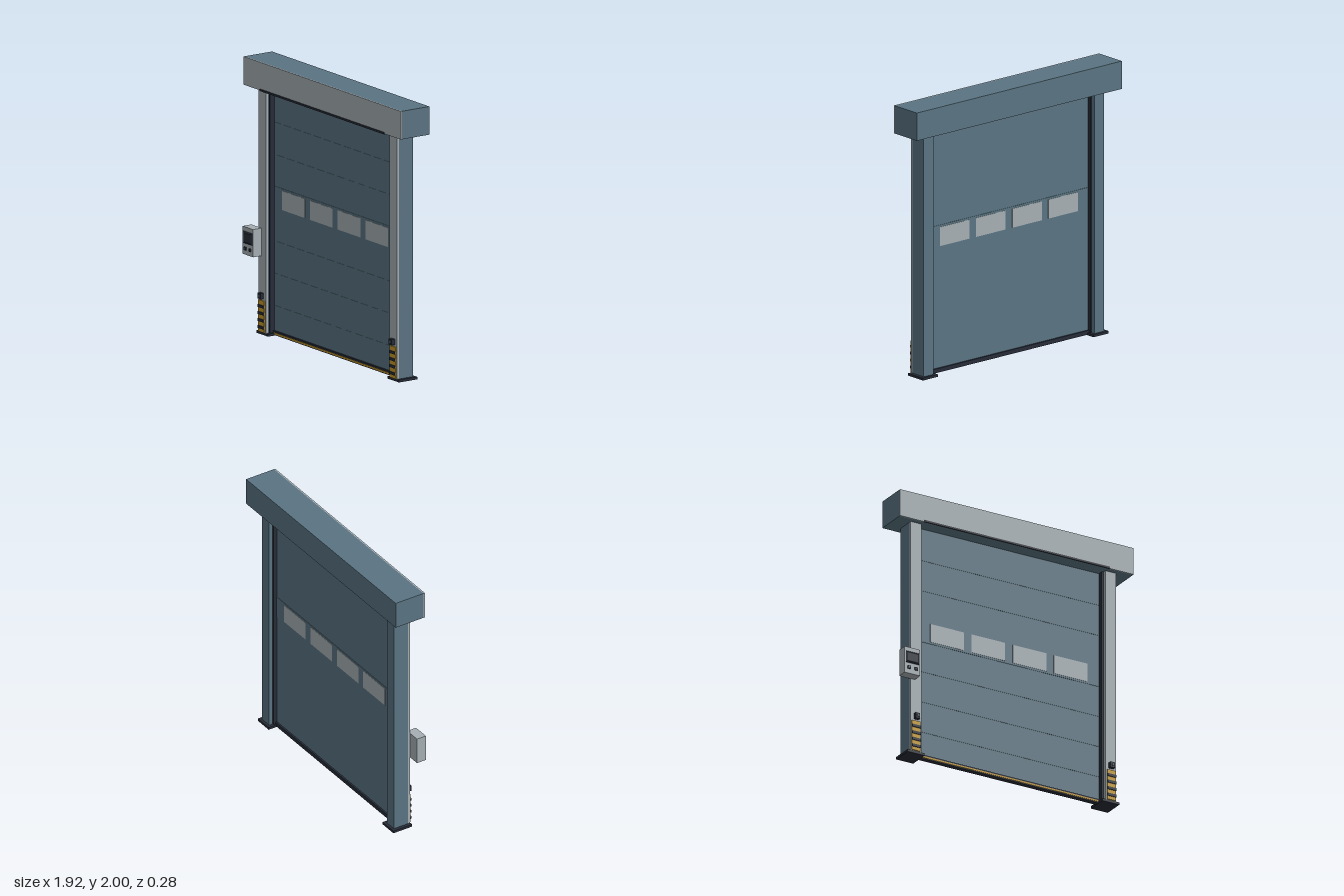
import * as THREE from 'three';

const mat = (name, color) => {
  const m = new THREE.MeshStandardMaterial({ color });
  m.name = name;
  return m;
};

export function createModel() {
  const blue = mat('steel blue', 0x5a7482);
  const grey = mat('light grey', 0xa6afb4);
  const dark = mat('dark rubber', 0x262c38);
  const yellow = mat('safety yellow', 0xc49a2c);
  const model = new THREE.Group();
  model.name = 'industrialDoor';

  // Box given by its minimum and maximum on each axis
  const box = (name, m, x0, x1, y0, y1, z0, z1, parent = model) => {
    const mesh = new THREE.Mesh(new THREE.BoxGeometry(x1 - x0, y1 - y0, z1 - z0), m);
    mesh.position.set((x0 + x1) / 2, (y0 + y1) / 2, (z0 + z1) / 2);
    mesh.name = name;
    parent.add(mesh);
    return mesh;
  };

  // Header housing with front fascia and lower seal
  box('headerHousing', blue, -0.96, 0.96, 1.795, 2, -0.14, 0.095);
  box('headerFascia', grey, -0.96, 0.96, 1.795, 2, 0.095, 0.106);
  box('headerSeal', dark, -0.76, 0.76, 1.792, 1.806, 0.1, 0.112);

  // Curtain with horizontal seams
  box('curtain', blue, -0.75, 0.75, 0.03, 1.795, -0.022, -0.01);
  for (const y of [0.215, 0.45, 0.685, 1.315, 1.55]) {
    box('curtainSeam', blue, -0.745, 0.745, y - 0.002, y + 0.002, -0.01, -0.008);
  }

  // Window band and panes, visible on both sides
  box('windowBand', blue, -0.745, 0.745, 0.915, 1.085, -0.025, -0.007);
  for (const x of [-0.508, -0.17, 0.17, 0.508]) {
    box('windowPane', grey, x - 0.138, x + 0.138, 0.93, 1.07, -0.027, -0.005);
  }

  // Bottom edge bar with yellow strip
  box('bottomBar', dark, -0.745, 0.745, 0.004, 0.034, -0.035, 0.003);
  box('bottomStripe', yellow, -0.735, 0.735, 0.011, 0.022, 0.003, 0.007);

  // Side columns, mirrored by s
  for (const s of [-1, 1]) {
    const column = new THREE.Group();
    column.name = s > 0 ? 'leftColumn' : 'rightColumn';
    model.add(column);
    const part = (name, m, a, b, y0, y1, z0, z1) =>
      box(name, m, Math.min(a * s, b * s), Math.max(a * s, b * s), y0, y1, z0, z1, column);
    part('basePlate', dark, 0.73, 0.87, 0, 0.018, -0.1, 0.058);
    part('post', blue, 0.755, 0.845, 0.018, 1.795, -0.08, 0.04);
    part('postCover', grey, 0.755, 0.845, 0.018, 1.795, 0.04, 0.058);
    part('guideSeal', dark, 0.744, 0.756, 0.018, 1.795, -0.05, 0.03);
    // Impact guard with dark hazard bands
    part('impactGuard', yellow, 0.768, 0.838, 0.02, 0.25, 0.058, 0.067);
    for (const y of [0.055, 0.106, 0.157, 0.208]) {
      part('hazardBand', dark, 0.768, 0.838, y - 0.01, y + 0.01, 0.06, 0.073);
    }
    // Light sensor
    part('sensorBody', dark, 0.783, 0.819, 0.264, 0.306, 0.058, 0.086);
    part('sensorLens', blue, 0.794, 0.808, 0.278, 0.292, 0.086, 0.091);
  }

  // Control box beside the right column
  const control = new THREE.Group();
  control.name = 'controlBox';
  model.add(control);
  box('controlCase', grey, -0.937, -0.81, 0.572, 0.774, 0.055, 0.13, control);
  const screen = box('screen', dark, -0.928, -0.82, 0.654, 0.742, 0.13, 0.138, control);
  // Taper the front face of the screen
  const p = screen.geometry.attributes.position;
  for (let i = 0; i < p.count; i++) {
    if (p.getZ(i) > 0) p.setXY(i, p.getX(i) * 0.75, p.getY(i) * 0.75);
  }
  screen.geometry.computeVertexNormals();
  for (const x of [-0.903, -0.845]) {
    box('button', dark, x - 0.011, x + 0.011, 0.606, 0.628, 0.13, 0.139, control);
  }
  box('buttonCap', blue, -0.909, -0.897, 0.611, 0.623, 0.139, 0.141, control);
  return model;
}
